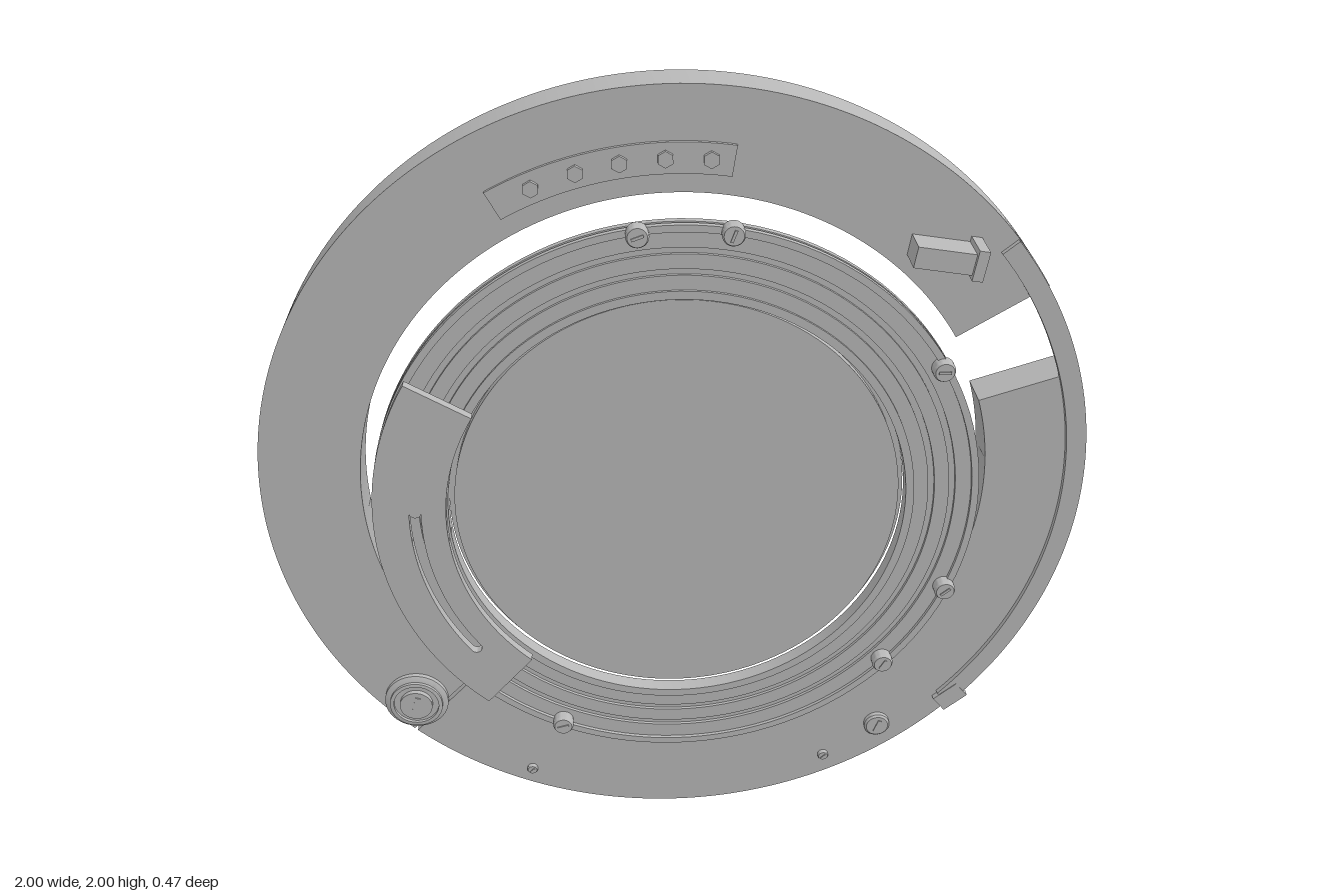
import * as THREE from 'three';
import { toCreasedNormals } from 'three/addons/utils/BufferGeometryUtils.js';

export function createModel() {
  const model = new THREE.Group();
  const metal = new THREE.MeshStandardMaterial({ color: 0xb8b8b8, side: THREE.DoubleSide });
  metal.name = 'satin grey';
  const rad = THREE.MathUtils.degToRad;

  // Everything is placed around the dial axis, which runs along z at y = 1
  const dial = new THREE.Group();
  dial.name = 'dialAssembly';
  dial.position.y = 1;
  model.add(dial);

  function add(name, geo, parent = dial) {
    const mesh = new THREE.Mesh(toCreasedNormals(geo, 0.5), metal);
    mesh.name = name;
    parent.add(mesh);
    return mesh;
  }

  // Outline of a ring sector, angles in degrees
  function sector(path, r0, r1, a0, a1) {
    path.absarc(0, 0, r1, rad(a0), rad(a1), false);
    path.absarc(0, 0, r0, rad(a1), rad(a0), true);
    path.closePath();
    return path;
  }

  function arcPlate(name, r0, r1, a0, a1, z0, z1, hole) {
    const shape = sector(new THREE.Shape(), r0, r1, a0, a1);
    if (hole) shape.holes.push(hole);
    const geo = new THREE.ExtrudeGeometry(shape, { depth: z1 - z0, bevelEnabled: false, curveSegments: 80 });
    return add(name, geo.translate(0, 0, z0));
  }

  // Turned part: profile points are [radius, z]
  function turned(name, points, parent = dial, segments = 128) {
    const geo = new THREE.LatheGeometry(points.map(p => new THREE.Vector2(p[0], p[1])), segments);
    return add(name, geo.rotateX(Math.PI / 2), parent);
  }

  function box(name, w, h, z0, z1, x, y, angle, parent = dial) {
    const mesh = add(name, new THREE.BoxGeometry(w, h, z1 - z0), parent);
    mesh.position.set(x, y, (z0 + z1) / 2);
    mesh.rotation.z = rad(angle);
    return mesh;
  }

  function screw(name, x, y, z, r, h, slotAngle) {
    const g = new THREE.Group();
    g.name = name;
    g.position.set(x, y, z);
    dial.add(g);
    turned('screwHead', [[0, 0], [r, 0], [r, h * 0.75], [r * 0.85, h], [0, h]], g, 28);
    box('screwSlot', r * 1.1, r * 0.25, h, h + 0.003, 0, 0, slotAngle, g);
    return g;
  }

  // Outer ring in two arms, open at upper right, split at lower left
  arcPlate('upperRingArm', 0.76, 1, 31.3, 226, 0, 0.103);
  arcPlate('lowerRingArm', 0.755, 1, 226.6, 377.5, 0, 0.103);

  // Pivot joining both arms
  const pivot = new THREE.Group();
  pivot.name = 'pivot';
  pivot.position.set(-0.68, -0.62, 0.1);
  dial.add(pivot);
  turned('pivotBoss', [[0, 0], [0.082, 0], [0.082, 0.015], [0.068, 0.022], [0.068, 0.03],
    [0.058, 0.03], [0.058, 0.022], [0.042, 0.022], [0.042, 0.035], [0, 0.035]], pivot, 48);
  box('pivotSlot', 0.014, 0.055, 0.035, 0.038, 0, 0, -15, pivot);

  // Curved spring bar bridging the opening, with its foot
  arcPlate('springBar', 0.95, 0.998, -43, 39.5, 0.1, 0.116);
  box('springFoot', 0.075, 0.05, 0.1, 0.118, 0.73, -0.66, 40);

  // Curved index plate with five hexagonal studs
  arcPlate('indexPlate', 0.805, 0.876, 81.4, 118.6, 0.1, 0.112);
  for (const a of [112.2, 105.2, 98.5, 91.7, 84.9]) {
    const stud = add('indexStud', new THREE.CylinderGeometry(0.019, 0.019, 0.012, 6).rotateX(Math.PI / 2));
    stud.position.set(0.84 * Math.cos(rad(a)), 0.84 * Math.sin(rad(a)), 0.116);
  }

  // Stop block beside the opening
  box('stopBlock', 0.14, 0.05, 0.1, 0.18, 0.592, 0.617, -9);
  box('stopHead', 0.025, 0.072, 0.1, 0.19, 0.668, 0.607, -9);

  // Screws and pins on the lower arm
  screw('armScrew', 0.54, -0.75, 0.1, 0.034, 0.02, 70);
  for (const [x, y] of [[-0.39, -0.87], [0.4, -0.855]]) screw('armPin', x, y, 0.1, 0.014, 0.014, 45);

  // Barrel running through the rings
  turned('barrel', [[0.53, -0.05], [0.546, -0.05], [0.546, 0.14], [0.53, 0.14], [0.53, -0.05]]);

  // Front bezel with stepped grooves
  turned('bezel', [[0.545, 0.155], [0.72, 0.155], [0.72, 0.172], [0.71, 0.174], [0.71, 0.178],
    [0.72, 0.18], [0.72, 0.195], [0.703, 0.195], [0.703, 0.186], [0.665, 0.186], [0.665, 0.178],
    [0.65, 0.178], [0.65, 0.186], [0.615, 0.186], [0.615, 0.178], [0.6, 0.178], [0.6, 0.186],
    [0.565, 0.186], [0.565, 0.193], [0.545, 0.193], [0.545, 0.155]]);
  for (const [x, y, a] of [[-0.09, 0.7, 20], [0.118, 0.7, 70], [0.605, 0.36, 0],
    [0.66, -0.247, 40], [0.52, -0.467, 60], [-0.297, -0.637, 15]]) {
    screw('bezelScrew', x, y, 0.186, 0.026, 0.03, a);
  }

  // Left cover with a curved slot, on its spacer
  const slot = new THREE.Path();
  slot.absarc(0, 0, 0.633, rad(177), rad(216), false);
  slot.absarc(0.619 * Math.cos(rad(216)), 0.619 * Math.sin(rad(216)), 0.014, rad(216), rad(396), false);
  slot.absarc(0, 0, 0.605, rad(216), rad(177), true);
  slot.absarc(0.619 * Math.cos(rad(177)), 0.619 * Math.sin(rad(177)), 0.014, rad(357), rad(177), true);
  slot.closePath();
  arcPlate('slottedCover', 0.547, 0.718, 149.3, 228, 0.207, 0.231, slot);
  arcPlate('coverSpacer', 0.66, 0.71, 152, 225, 0.185, 0.207);

  // Front window, thin domed dial and back lid
  turned('frontWindow', [[0, 0.14], [0.532, 0.14], [0.532, 0.165], [0, 0.165]]);
  turned('domedDial', [[0.41, -0.17], [0.3, -0.166], [0.2, -0.163], [0.1, -0.161], [0, -0.16]]);
  turned('backLid', [[0, -0.235], [0.545, -0.235], [0.545, -0.217], [0, -0.217]]);

  return model;
}
